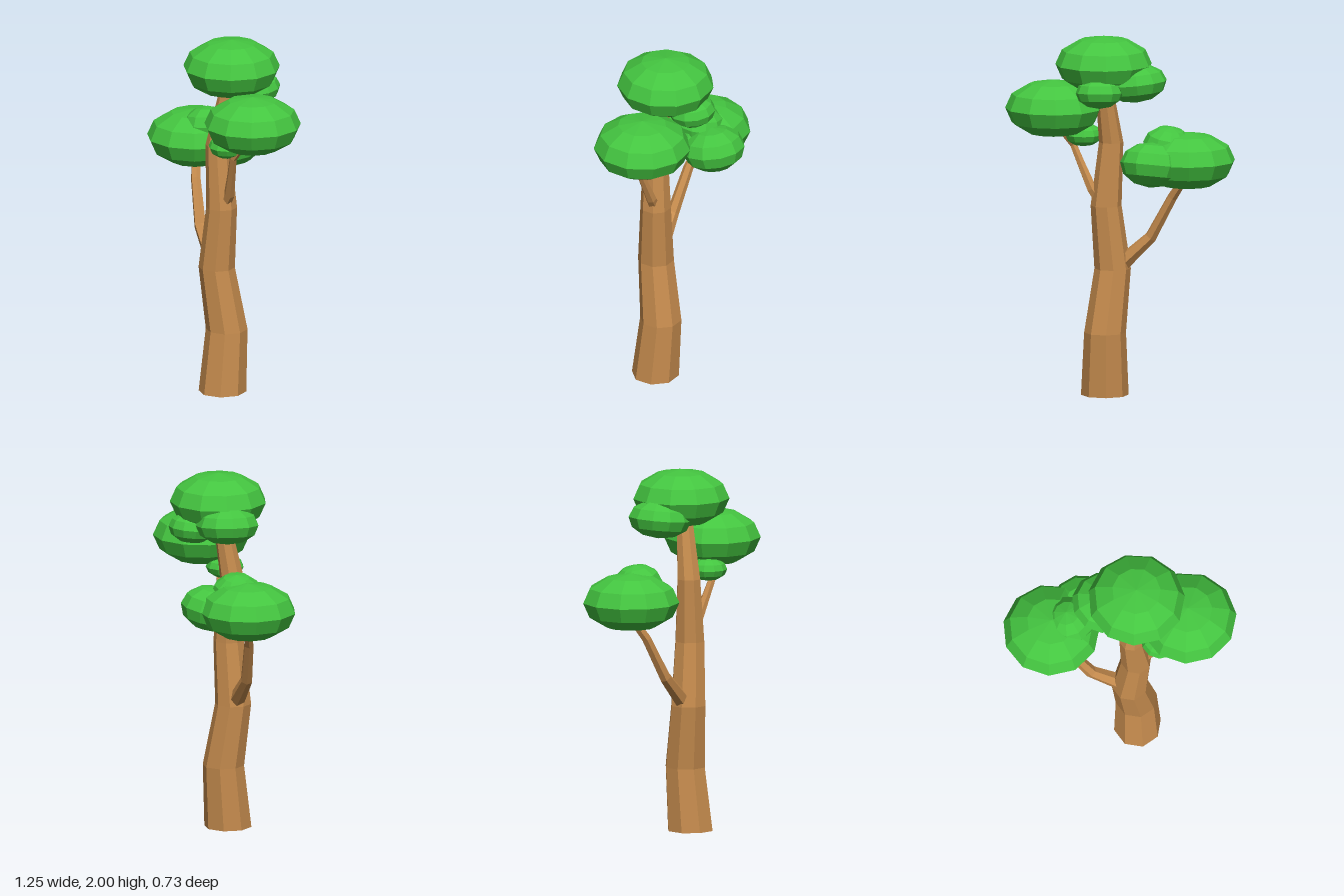
import * as THREE from 'three';

const bark = new THREE.MeshStandardMaterial({ color: 0xc68c4e, flatShading: true });
const leaf = new THREE.MeshStandardMaterial({ color: 0x44c540, flatShading: true });
const UP = new THREE.Vector3(0, 1, 0);

// Bent, tapering limb: a cylinder whose rings are moved onto the stations [x, y, z, radius]
function limb(name, stations, sides, levelRings) {
  const n = stations.length - 1;
  const points = stations.map(s => new THREE.Vector3(s[0], s[1], s[2]));
  const turns = points.map((p, i) => {
    const q = new THREE.Quaternion();
    if (levelRings) return q;
    const along = points[Math.min(i + 1, n)].clone().sub(points[Math.max(i - 1, 0)]).normalize();
    return q.setFromUnitVectors(UP, along);
  });
  const geo = new THREE.CylinderGeometry(1, 1, 1, sides, n);
  const pos = geo.attributes.position;
  const v = new THREE.Vector3();
  for (let k = 0; k < pos.count; k++) {
    v.fromBufferAttribute(pos, k);
    const i = Math.round((v.y + 0.5) * n);
    v.y = 0;
    v.multiplyScalar(stations[i][3]).applyQuaternion(turns[i]).add(points[i]);
    pos.setXYZ(k, v.x, v.y, v.z);
  }
  geo.computeVertexNormals();
  const mesh = new THREE.Mesh(geo, bark);
  mesh.name = name;
  return mesh;
}

// Flattened foliage ball, optionally tilted
function foliage(name, [x, y, z], radius, height, tiltX = 0, tiltZ = 0) {
  const geo = new THREE.SphereGeometry(1, 11, 6);
  geo.rotateY(-Math.PI / 2);
  geo.scale(radius, height, radius);
  const mesh = new THREE.Mesh(geo, leaf);
  mesh.position.set(x, y, z);
  mesh.rotation.set(tiltX, 0, tiltZ);
  mesh.name = name;
  return mesh;
}

export function createModel() {
  const tree = new THREE.Group();
  tree.name = 'tree';

  // Trunk and branches
  tree.add(
    limb('trunk', [
      [0.08, 0, 0.08, 0.131], [0.08, 0.35, 0.05, 0.115], [0.037, 0.7, 0.085, 0.1],
      [0.073, 1.05, 0.08, 0.085], [0.045, 1.4, 0.085, 0.067], [0.09, 1.75, 0.04, 0.045],
    ], 8, true),
    limb('rightBranch', [
      [0.037, 0.68, 0.085, 0.05], [-0.17, 0.88, 0.03, 0.034],
      [-0.285, 1.11, -0.035, 0.028], [-0.36, 1.24, -0.1, 0.022],
    ], 6, false),
    limb('leftBranch', [
      [0.075, 1.03, 0.08, 0.035], [0.15, 1.14, 0.09, 0.03], [0.205, 1.27, 0.12, 0.024],
      [0.25, 1.38, 0.145, 0.021], [0.36, 1.52, 0.12, 0.018],
    ], 6, false),
  );

  // Main foliage
  tree.add(
    foliage('crownFoliage', [0.088, 1.841, 0.022], 0.267, 0.159),
    foliage('leftFoliage', [0.36, 1.588, 0.1], 0.267, 0.159),
    foliage('rightFoliage', [-0.363, 1.323, -0.097], 0.267, 0.159),
  );

  // Smaller clumps around the main foliage
  tree.add(
    foliage('crownSideClump', [-0.083, 1.745, -0.037], 0.175, 0.107, 0.05, -0.1),
    foliage('crownBackClump', [0.12, 1.705, -0.132], 0.13, 0.086, 0.1, 0),
    foliage('leftLowerClump', [0.195, 1.435, 0.14], 0.105, 0.064),
    foliage('rightInnerClump', [-0.165, 1.315, -0.197], 0.175, 0.125, 0.15, 0.1),
    foliage('rightUpperClump', [-0.26, 1.405, -0.1], 0.14, 0.11, -0.12, 0.15),
  );
  return tree;
}
